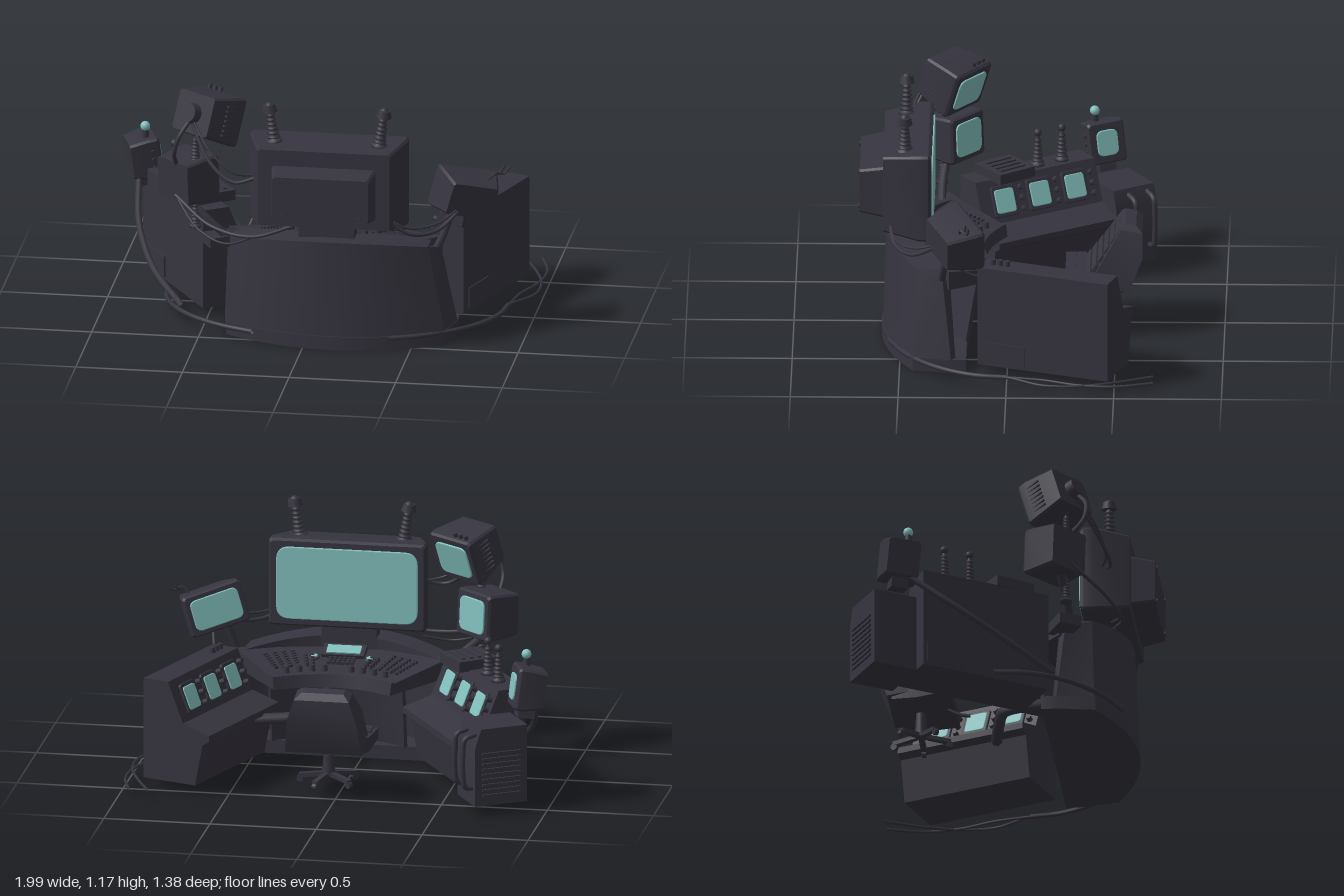
import * as THREE from 'three';
import { toCreasedNormals } from 'three/addons/utils/BufferGeometryUtils.js';

const dark = new THREE.MeshStandardMaterial({ color: 0x36343f, side: THREE.DoubleSide });
const teal = new THREE.MeshStandardMaterial({ color: 0x82c0bd });
const V = (p) => new THREE.Vector3(...p);

function add(parent, name, geo, pos = [0, 0, 0], rot = [0, 0, 0], mat = dark) {
  const m = new THREE.Mesh(geo, mat);
  m.name = name;
  m.position.set(...pos);
  m.rotation.set(...rot);
  parent.add(m);
  return m;
}
function addGroup(parent, name, pos = [0, 0, 0], rot = [0, 0, 0]) {
  const g = new THREE.Group();
  g.name = name;
  g.position.set(...pos);
  g.rotation.set(...rot);
  parent.add(g);
  return g;
}
const box = (w, h, d) => new THREE.BoxGeometry(w, h, d);
const cyl = (r0, r1, h, n = 14) => new THREE.CylinderGeometry(r0, r1, h, n);
const tube = (pts, r, seg = 36) => new THREE.TubeGeometry(new THREE.CatmullRomCurve3(pts.map(V)), seg, r, 8);

// Skin over a row of equal closed rings, capped at both ends
function loft(rings) {
  const n = rings[0].length, pos = rings.flat(2), idx = [];
  for (let i = 0; i < rings.length - 1; i++) for (let j = 0; j < n; j++) {
    const a = i * n + j, b = i * n + (j + 1) % n;
    idx.push(a, b, b + n, a, b + n, a + n);
  }
  const e = (rings.length - 1) * n;
  for (let j = 1; j < n - 1; j++) idx.push(0, j + 1, j, e, e + j, e + j + 1);
  let vol = 0;
  const p = (k) => V(pos.slice(k * 3, k * 3 + 3));
  for (let k = 0; k < idx.length; k += 3) vol += p(idx[k]).dot(p(idx[k + 1]).cross(p(idx[k + 2])));
  if (vol < 0) idx.reverse();
  const g = new THREE.BufferGeometry();
  g.setAttribute('position', new THREE.Float32BufferAttribute(pos, 3));
  g.setIndex(idx);
  return toCreasedNormals(g, 0.4);
}
// Rectangle with cut corners at depth z
function section(w, h, z, c = 0.01) {
  const x = w / 2, y = h / 2;
  return [[x - c, y, z], [x, y - c, z], [x, c - y, z], [x - c, -y, z],
    [c - x, -y, z], [-x, c - y, z], [-x, y - c, z], [c - x, y, z]];
}
function plate(w, h, r, d) {
  const s = new THREE.Shape(), x = w / 2, y = h / 2;
  s.moveTo(r - x, -y).lineTo(x - r, -y).quadraticCurveTo(x, -y, x, r - y);
  s.lineTo(x, y - r).quadraticCurveTo(x, y, x - r, y).lineTo(r - x, y);
  s.quadraticCurveTo(-x, y, -x, y - r).lineTo(-x, r - y).quadraticCurveTo(-x, -y, r - x, -y);
  return new THREE.ExtrudeGeometry(s, { depth: d, bevelThickness: 0.004, bevelSize: 0.004, bevelSegments: 2, curveSegments: 6 });
}

// Screen housing looking along dir; profile rows are [width, height, depth]
function monitor(parent, name, pos, dir, roll, profile, margin) {
  const g = addGroup(parent, name, pos);
  g.lookAt(V(pos).add(V(dir)));
  g.rotateZ(roll);
  add(g, 'housing', loft(profile.map((s) => section(...s))));
  const [w, h] = profile[0];
  add(g, 'screen', plate(w - margin, h - margin, h * 0.15, 0.004), [0, 0, 0], [0, 0, 0], teal);
  return g;
}
// Ribbed spring post with a ball on top
function springPost(parent, name, pos, tilt, h, r) {
  const g = addGroup(parent, name, pos, [0, 0, tilt]), pts = [[0, 0], [r * 1.3, 0], [r * 1.3, h * 0.08]];
  for (let i = 0; i < 6; i++) {
    const k = 1 - i * 0.07, y = h * (0.1 + i * 0.11);
    pts.push([r * 0.55 * k, y], [r * k, y + h * 0.035], [r * k, y + h * 0.07]);
  }
  pts.push([r * 0.3, h * 0.78], [r * 0.3, h * 0.9], [0, h * 0.9]);
  add(g, 'spring', new THREE.LatheGeometry(pts.map((p) => new THREE.Vector2(...p)), 14));
  add(g, 'ball', new THREE.SphereGeometry(r * 0.75, 14, 10), [0, h * 0.92, 0]);
}

// Main console: arched rear wall, floor platform, desk and controls
function buildConsole(root) {
  const g = addGroup(root, 'console'), X = 0.11, N = 20;
  const ts = Array.from({ length: N + 1 }, (_, i) => -1 + 2 * i / N);
  const outer = (t) => [X + 0.025 + 0.51 * t, 0.59 - 0.15 * t * t];
  const wallRing = (t) => {
    const [x, z] = outer(t), xt = X + 0.455 * t, top = 0.52 - 0.05 * t * t;
    return [[x, 0.06, z - 0.006], [xt, top, z - 0.02], [xt, top, z - 0.17], [x, 0.06, z - 0.17]];
  };
  const wallEnd = (s) => {
    const x = X + 0.025 + s * 0.545, xt = X + s * 0.5;
    return [[x, 0.06, 0.26], [xt, 0.43, 0.3], [xt - s * 0.03, 0.43, 0.27], [x - s * 0.03, 0.06, 0.24]];
  };
  const footRing = ([x, z]) => [[x, 0, z], [x, 0.065, z], [x, 0.065, 0.19], [x, 0, 0.19]];
  add(g, 'rearWall', loft([wallEnd(-1), ...ts.map(wallRing), wallEnd(1)]));
  add(g, 'platform', loft([[X - 0.52, 0.27], ...ts.map(outer), [X + 0.57, 0.27]].map(footRing)));
  const desk = (t, s, dy = 0) => {
    const a = [X + 0.28 * t, 0.41 + dy, 0.115 - 0.095 * t * t];
    const b = [X + 0.5 * t, 0.475 + dy, 0.5 - 0.23 * t * t];
    return a.map((v, i) => v + (b[i] - v) * s);
  };
  add(g, 'desk', loft(ts.map((t) => [desk(t, 0), desk(t, 1), desk(t, 1, -0.09), desk(t, 0, -0.05)])));
  add(g, 'deskRim', loft(ts.map((t) => [desk(t, 0, 0.008), desk(t, 0.05, 0.008), desk(t, 0.05, -0.05), desk(t, -0.03, -0.05)])));
  // Folded knee panels below the desk
  add(g, 'kneePanels', loft([-0.9, -0.6, -0.2, 0.2, 0.6, 0.9].map((t) => {
    const a = desk(t, 0.3), b = desk(t, 0.36);
    return [[a[0], 0.41, a[2]], [b[0], 0.41, b[2]], [b[0], 0.06, b[2] + 0.06], [a[0], 0.06, a[2] + 0.06]];
  })));
  // Button fans, knobs, keypad and a small display
  for (const sgn of [-1, 1]) {
    for (let r = 0; r < 4; r++) for (let c = 0; c < 7; c++)
      add(g, 'button', box(0.018, 0.014, 0.012), desk(sgn * (0.56 + r * 0.09), 0.28 + c * 0.065, 0.006), [-0.15, sgn * 0.75, 0]);
    for (let i = 0; i < 4; i++) {
      add(g, 'knob', cyl(0.013, 0.016, 0.03), desk(sgn * (0.2 + 0.18 * i), 0.16, 0.012));
      for (const t of [0.36, 0.44]) add(g, 'smallKnob', cyl(0.009, 0.009, 0.02), desk(sgn * t, 0.28 + 0.07 * i, 0.01));
    }
    add(g, 'dialRing', new THREE.TorusGeometry(0.022, 0.006, 8, 18), desk(sgn * 0.34, 0.48, 0.008), [Math.PI / 2 - 0.16, 0, 0]);
    add(g, 'dial', cyl(0.016, 0.016, 0.02), desk(sgn * 0.34, 0.48, 0.008), [-0.16, 0, 0], teal);
  }
  for (let r = 0; r < 3; r++) for (let c = 0; c < 6; c++)
    add(g, 'key', box(0.016, 0.014, 0.014), [X - 0.055 + c * 0.022, 0.44 + r * 0.004, 0.235 + r * 0.022], [-0.16, 0, 0]);
  add(g, 'deskScreenFrame', box(0.2, 0.03, 0.09), [X, 0.46, 0.345], [-0.35, 0, 0]);
  add(g, 'deskScreen', box(0.16, 0.03, 0.06), [X, 0.465, 0.34], [-0.35, 0, 0], teal);
  add(g, 'thickPipe', tube([[0.17, 0.3, 0.3], [0.17, 0.29, 0.06], [0.2, 0.28, -0.05], [0.28, 0.26, -0.08], [0.45, 0.25, -0.11]], 0.028));
}

// Side cabinet: local x faces the operator, z runs along its length
function cabinet(root, name, pos, turn, hatchAt) {
  const g = addGroup(root, name, pos, [0, turn, 0]);
  const prof = [[-0.175, 0.05], [0.1, 0.05], [0.14, 0.25], [0.175, 0.27], [0.175, 0.3], [0.035, 0.34], [-0.045, 0.53], [-0.175, 0.53]];
  const body = new THREE.ExtrudeGeometry(new THREE.Shape(prof.map((p) => new THREE.Vector2(...p))), { depth: 0.645, bevelEnabled: false });
  add(g, 'body', body, [0, 0, -0.3225]);
  add(g, 'outerHatch', box(0.01, 0.1, 0.19), [-0.176, 0.115, hatchAt]);
  const panel = addGroup(g, 'controlPanel', [-0.003, 0.43, 0]);
  panel.rotation.set(-0.39, Math.PI / 2, 0, 'YXZ');
  for (let i = -1; i <= 1; i++) {
    add(panel, 'screenFrame', plate(0.12, 0.14, 0.012, 0.006), [i * 0.19, 0, 0]);
    add(panel, 'screen', plate(0.095, 0.105, 0.012, 0.006), [i * 0.19, 0, 0.005], [0, 0, 0], teal);
    for (let k = 0; k < 3; k++) add(panel, 'knob', cyl(0.012, 0.014, 0.03, 10), [i * 0.19 + 0.095, -0.05 + k * 0.05, 0.01], [Math.PI / 2, 0, 0]);
  }
  return g;
}

// Swivel chair with ribbed, reclined back and star foot
function buildChair(root) {
  const g = addGroup(root, 'chair', [0.045, 0.045, -0.42]);
  const slab = (w, y, z, h, d) => [[-w, y, z], [w, y, z], [w, y + h, z + d], [-w, y + h, z + d]];
  add(g, 'seat', loft([slab(0.205, 0.19, 0.16, 0.05, 0), slab(0.19, 0.17, 0.0, 0.07, 0), slab(0.16, 0.18, -0.12, 0.08, 0)]));
  add(g, 'backShell', loft([slab(0.18, 0.19, -0.14, 0.03, 0.19), slab(0.165, 0.35, -0.2, 0.03, 0.16), slab(0.13, 0.46, -0.2, 0.02, 0.1), slab(0.1, 0.49, -0.17, 0.01, 0.05)]));
  for (let i = 0; i < 6; i++)
    add(g, 'backRib', box(0.33 - i * 0.025, 0.036, 0.035), [0, 0.25 + i * 0.04, 0.04 - i * 0.028], [-0.6, 0, 0]);
  for (let i = 0; i < 2; i++) add(g, 'seatRib', box(0.37, 0.02, 0.045), [0, 0.24, 0.085 + i * 0.05]);
  add(g, 'heightLever', tube([[0, 0.19, 0.12], [0, 0.16, 0.18], [0, 0.15, 0.23]], 0.009, 10));
  add(g, 'post', cyl(0.022, 0.03, 0.14), [0, 0.12, 0]);
  for (let i = 0; i < 5; i++) {
    const leg = addGroup(g, 'footLeg', [0, 0, 0], [0, i * Math.PI * 0.4, 0]);
    add(leg, 'bar', box(0.14, 0.02, 0.026), [0.07, 0.05, 0], [0, 0, -0.12]);
    add(leg, 'wheel', cyl(0.016, 0.016, 0.02), [0.135, 0.026, 0], [Math.PI / 2, 0, 0]);
  }
}

// Cable between two points, hanging by sag and bulging sideways by [x, z]
function hang(root, a, b, sag, out, r) {
  const mid = (k) => V(a).lerp(V(b), k).add(V([out[0], -sag, out[1]])).toArray();
  add(root, 'cable', tube([a, mid(0.33), mid(0.67), b], r));
}
// Cable lying round the platform, with an optional loose tail running back
function floorCable(root, side, r, tail, phase) {
  const pts = [];
  for (let i = 0; i <= 5; i++) {
    const a = 1.16 * (1 - i / 5);
    pts.push([0.08 + side * 0.8 * Math.cos(a), 0.057, 0.6 * Math.sin(a)]);
  }
  for (let j = 1; j <= tail; j++) pts.push([0.89 + 0.1 * Math.sin(j * 0.8 + phase), 0.055, -0.17 * j]);
  add(root, 'floorCable', tube(pts, r, 60));
}

export function createModel() {
  const root = new THREE.Group();
  root.name = 'controlStation';
  buildConsole(root);
  buildChair(root);

  // Main screen with rear hump, neck and spring posts
  const main = monitor(root, 'mainMonitor', [0.1, 0.78, 0.355], [0, 0, -1], 0,
    [[0.72, 0.4, 0], [0.74, 0.42, -0.015], [0.74, 0.42, -0.06], [0.62, 0.37, -0.225]], 0.06);
  add(main, 'rearHump', loft([section(0.49, 0.25, -0.22), section(0.45, 0.21, -0.335)]), [0, -0.015, 0]);
  for (const x of [-0.18, 0.18]) for (const y of [-0.1, 0.07]) add(main, 'bolt', cyl(0.012, 0.012, 0.012), [x, y, -0.336], [Math.PI / 2, 0, 0]);
  add(root, 'neck', box(0.26, 0.14, 0.09), [0.1, 0.53, 0.45]);
  for (const s of [-1, 1]) {
    springPost(root, 'topSpring', [0.1 + s * 0.245, 0.97, 0.48], -s * 0.14, 0.19, 0.03);
    add(root, 'springCap', cyl(0.028, 0.036, 0.035), [0.1 + s * 0.27, 1.135, 0.48], [0, 0, -s * 0.14]);
  }

  // Three swivelling side screens
  const small = (w, h, d, k) => [[w - 0.015, h - 0.015, 0], [w, h, -0.012], [w, h, -0.05], [w * k, h * k, -d]];
  const a = monitor(root, 'upperSideMonitor', [-0.435, 0.98, 0.195], [0.55, -0.33, -0.77], 0, small(0.27, 0.23, 0.2, 0.82), 0.06);
  add(a, 'rearKnob', cyl(0.05, 0.045, 0.05), [0, 0, -0.215], [Math.PI / 2, 0, 0]);
  for (let i = 0; i < 3; i++) add(a, 'topKnob', cyl(0.01, 0.01, 0.03), [0.02 + i * 0.035, 0.12, -0.03]);
  for (let i = 0; i < 7; i++) add(a, 'sideVent', box(0.27, 0.008, 0.07), [0, -0.07 + i * 0.023, -0.085]);
  monitor(root, 'lowerSideMonitor', [-0.52, 0.715, 0.2], [0.64, 0.05, -0.77], 0, small(0.23, 0.22, 0.19, 0.9), 0.05);
  const c = monitor(root, 'tiltedSideMonitor', [0.68, 0.69, 0.165], [-0.45, 0.12, -0.9], 0.25, small(0.29, 0.2, 0.18, 0.78), 0.045);
  for (const s of [0.5, 1]) add(c, 'whisker', tube([[-0.08, 0.09, -0.1], [-0.1, 0.11 + s * 0.02, -0.11], [-0.1 - s * 0.05, 0.13, -0.1], [-0.11 - s * 0.06, 0.17, -0.1]], 0.005, 16));
  for (const y of [0.8, 0.48]) springPost(root, 'sideSwivel', [-0.54, y, 0.32], 0, 0.15, 0.022);
  add(root, 'leftArm', tube([[0.56, 0.38, 0.31], [0.61, 0.47, 0.3], [0.66, 0.62, 0.27]], 0.018, 12));
  add(root, 'rightArm', tube([[-0.34, 0.4, 0.32], [-0.46, 0.5, 0.32], [-0.58, 0.61, 0.3]], 0.02, 12));
  add(root, 'rightArmBase', box(0.15, 0.05, 0.11), [-0.42, 0.42, 0.3], [0, 0.5, 0]);

  // Side cabinets
  const left = cabinet(root, 'leftCabinet', [0.635, 0, -0.225], Math.PI - 0.345, -0.18);
  for (let i = 0; i < 3; i++) add(left, 'topKnob', cyl(0.013, 0.015, 0.03), [-0.11, 0.54, -0.27 + i * 0.035]);
  const right = cabinet(root, 'rightCabinet', [-0.54, 0, -0.13], 0.56, -0.21);
  for (const v of [-0.18, -0.05]) springPost(right, 'springLever', [-0.1, 0.53, v], 0, 0.175, 0.025);
  add(right, 'raisedConsole', box(0.2, 0.05, 0.2), [-0.08, 0.55, 0.14], [0, 0.1, 0]);
  for (let i = 0; i < 4; i++) add(right, 'raisedKey', box(0.02, 0.012, 0.14), [-0.14 + i * 0.04, 0.576, 0.14], [0, 0.1, 0]);
  // End unit with vents and grab handles
  const end = addGroup(right, 'endUnit', [0.03, 0.05, -0.43]);
  add(end, 'body', loft([[0.13, 0], [0.13, 0.28], [0.1, 0.37]].map(([w, y]) => [[-0.13, y, -0.11], [w, y, -0.11], [w, y, 0.11], [-0.13, y, 0.11]])));
  for (let i = 0; i < 9; i++) add(end, 'vent', box(0.19, 0.01, 0.016), [0, 0.05 + i * 0.025, -0.112]);
  for (const z of [-0.07, 0.03]) add(end, 'handle', tube([[0.12, 0.08, z], [0.165, 0.09, z], [0.175, 0.14, z], [0.175, 0.26, z], [0.165, 0.32, z], [0.1, 0.34, z]], 0.013));
  // Small status screen with lamp
  const status = monitor(root, 'statusScreen', [-0.83, 0.575, -0.44], [0.88, 0.14, -0.34], 0.06, small(0.18, 0.2, 0.14, 0.85), 0.07);
  add(status, 'bracket', box(0.08, 0.1, 0.08), [0, -0.09, -0.07]);
  for (let i = 0; i < 3; i++) add(status, 'sideButton', cyl(0.01, 0.01, 0.02), [-0.09, -0.04 + i * 0.04, -0.04], [0, 0, Math.PI / 2]);
  add(root, 'lampStem', cyl(0.014, 0.018, 0.05), [-0.88, 0.685, -0.38]);
  add(root, 'lamp', new THREE.SphereGeometry(0.023, 16, 12), [-0.88, 0.715, -0.38], [0, 0, 0], teal);

  // Cables in near-parallel pairs, then single runs
  for (const k of [0, 1]) {
    const r = 0.009 - k * 0.003;
    hang(root, [-0.23, 0.79, 0.48 - k * 0.03], [-0.55, 1.0 + k * 0.03, 0.37], 0.09 - k * 0.03, [0, 0.06], r);
    hang(root, [-0.05 - k * 0.18, 0.57 - k * 0.06, 0.5], [-0.63, 0.64, 0.35], 0.07, [0, 0.1], r);
    hang(root, [0.36, 0.69 - k * 0.02, 0.55], [0.73, 0.66, 0.3], 0.11 - k * 0.04, [0, 0.06], r);
  }
  hang(root, [-0.62, 0.78, 0.34], [-0.55, 1.03, 0.37], 0, [-0.03, 0.06], 0.01);
  hang(root, [-0.91, 0.48, -0.38], [-0.62, 0.08, 0.27], 0.03, [-0.06, 0.02], 0.015);
  hang(root, [0.72, 0.62, 0.28], [0.66, 0.52, 0.05], 0.07, [0, 0], 0.008);
  floorCable(root, -1, 0.012, 0, 0);
  floorCable(root, 1, 0.012, 0, 0);
  for (const phase of [-0.6, 0.3]) floorCable(root, 1, 0.007, 4, phase);
  return root;
}
